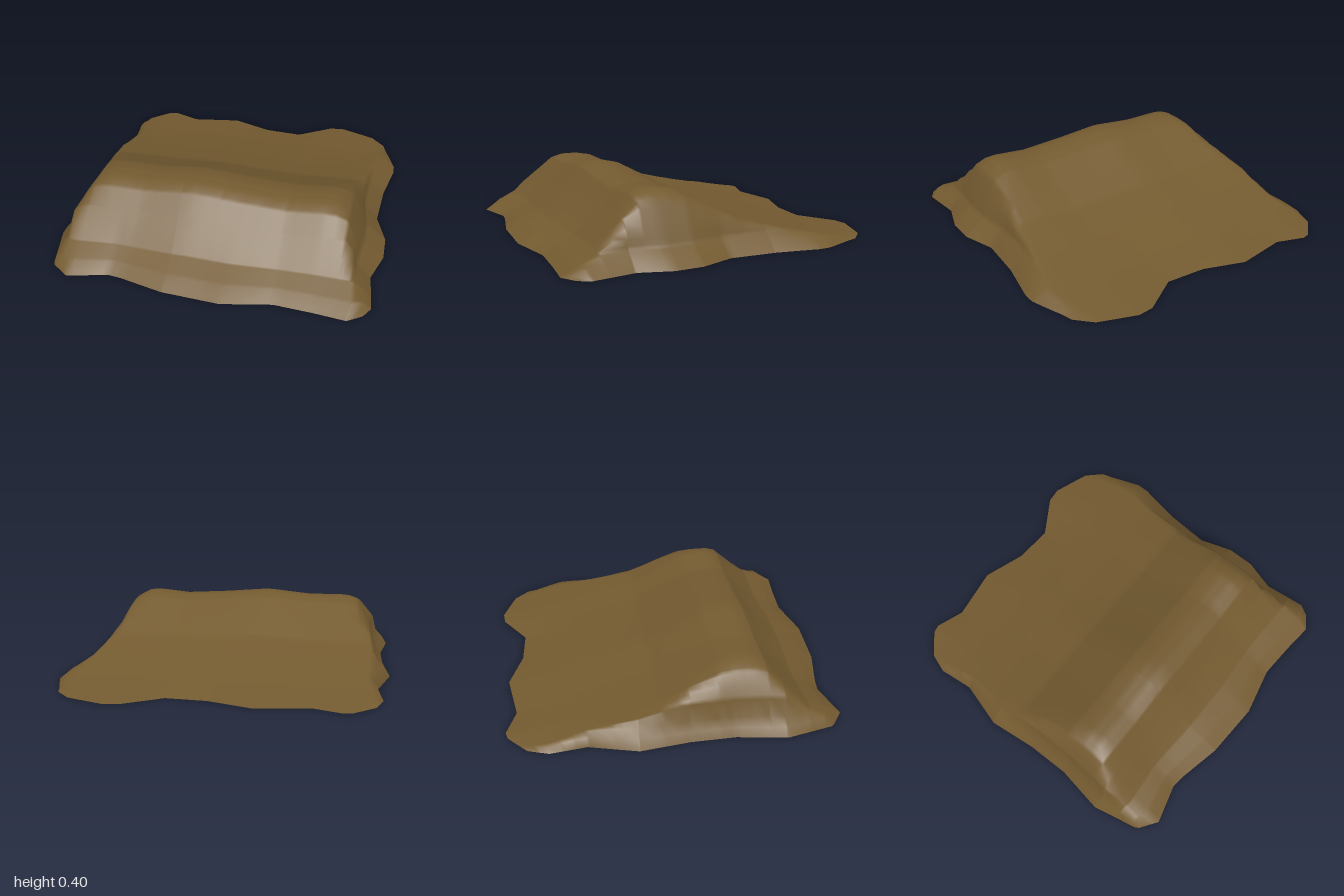
import * as THREE from 'three';

// Piecewise-linear lookup through [position, value] pairs in rising order
function lookup(pts, v) {
  if (v <= pts[0][0]) return pts[0][1];
  for (let i = 1; i < pts.length; i++) {
    const [a, fa] = pts[i - 1], [b, fb] = pts[i];
    if (v <= b) return fa + (fb - fa) * (v - a) / (b - a);
  }
  return pts[pts.length - 1][1];
}

const BASE = 0.9; // half size of the square before its rim is pushed in and out

// Ragged rim: sides as [z, x], ends as [x, z]
const leftRim = [[-0.9, -0.88], [-0.75, -0.92], [-0.51, -0.895], [-0.23, -0.97], [0.06, -0.935],
  [0.32, -0.93], [0.61, -0.975], [0.88, -0.915], [0.9, -0.9]];
const rightRim = [[-0.9, 0.88], [-0.81, 0.9], [-0.58, 0.97], [-0.5, 0.97], [-0.24, 0.92], [0.04, 0.9],
  [0.24, 0.965], [0.41, 0.965], [0.6, 0.905], [0.84, 0.93], [0.9, 0.89]];
const frontRim = [[-0.9, 0.9], [-0.8, 0.97], [-0.57, 0.91], [-0.49, 0.92], [-0.23, 0.98], [0.11, 1],
  [0.4, 0.94], [0.62, 0.955], [0.81, 0.975], [0.9, 0.92]];
const backRim = [[-0.9, -0.84], [-0.76, -0.95], [-0.71, -0.96], [-0.54, -0.9], [-0.23, -0.95],
  [0.02, -0.865], [0.26, -0.85], [0.48, -0.99], [0.57, -1], [0.8, -0.92], [0.9, -0.83]];

// Height from back to front, and the steep flanks from left to right
const slope = [[-0.9, 0], [-0.64, 0.047], [-0.35, 0.115], [-0.1, 0.185], [0.26, 0.38], [0.35, 0.4],
  [0.45, 0.4], [0.51, 0.378], [0.6, 0.27], [0.74, 0.11], [0.84, 0.05], [0.9, 0]];
const flanks = [[-0.9, 0], [-0.88, 0.05], [-0.85, 0.1], [-0.835, 0.2], [-0.77, 0.36], [-0.65, 0.6],
  [0.62, 0.6], [0.73, 0.37], [0.785, 0.2], [0.815, 0.1], [0.86, 0.05], [0.9, 0]];
const crest = [[-0.67, 0.93], [-0.44, 0.925], [-0.16, 1], [0.13, 0.935], [0.4, 0.895], [0.6, 0.945]];

// Grid lines: the profile's own knots plus evenly spaced ones
function gridLines(...profiles) {
  const all = profiles.flat().map(p => p[0]).filter(v => Math.abs(v) <= BASE);
  for (let i = 0; i <= 24; i++) all.push(-BASE + 2 * BASE * i / 24);
  all.sort((a, b) => a - b);
  return all.filter((v, i) => i === 0 || v - all[i - 1] > 1e-6);
}

// Rim displacement fades out towards the middle
const fade = (distance, reach) => Math.max(0, 1 - distance / reach) ** 2;

function surfacePoint(u, v) {
  const x = u
    + (lookup(leftRim, v) + BASE) * fade(u + BASE, 0.25)
    + (lookup(rightRim, v) - BASE) * fade(BASE - u, 0.25);
  const z = v
    + (lookup(frontRim, u) - BASE) * fade(BASE - v, 0.35)
    + (lookup(backRim, u) + BASE) * fade(v + BASE, 0.5);
  const h = lookup(slope, v) * lookup(crest, u);
  const side = lookup(flanks, u);
  // Rounded minimum of the slope and the flanks
  const y = h < 1e-6 || side < 1e-6 ? 0 : (h ** -7 + side ** -7) ** (-1 / 7);
  return [x, y, z];
}

export function createModel() {
  const group = new THREE.Group();
  group.name = 'earthMound';
  const earth = new THREE.MeshStandardMaterial({ color: 0x735a30, side: THREE.DoubleSide });
  earth.name = 'brown earth';

  // One smooth open sheet of ground
  const us = gridLines(flanks, frontRim, backRim), vs = gridLines(slope, leftRim, rightRim);
  const positions = [], index = [], n = us.length;
  for (const v of vs) for (const u of us) positions.push(...surfacePoint(u, v));
  for (let j = 0; j < vs.length - 1; j++) {
    for (let i = 0; i < n - 1; i++) {
      const a = j * n + i, b = a + 1, c = a + n, d = c + 1;
      index.push(a, c, b, b, c, d);
    }
  }
  const geometry = new THREE.BufferGeometry();
  geometry.setAttribute('position', new THREE.Float32BufferAttribute(positions, 3));
  geometry.setIndex(index);
  geometry.computeVertexNormals();

  const mound = new THREE.Mesh(geometry, earth);
  mound.name = 'moundSurface';
  group.add(mound);
  return group;
}
